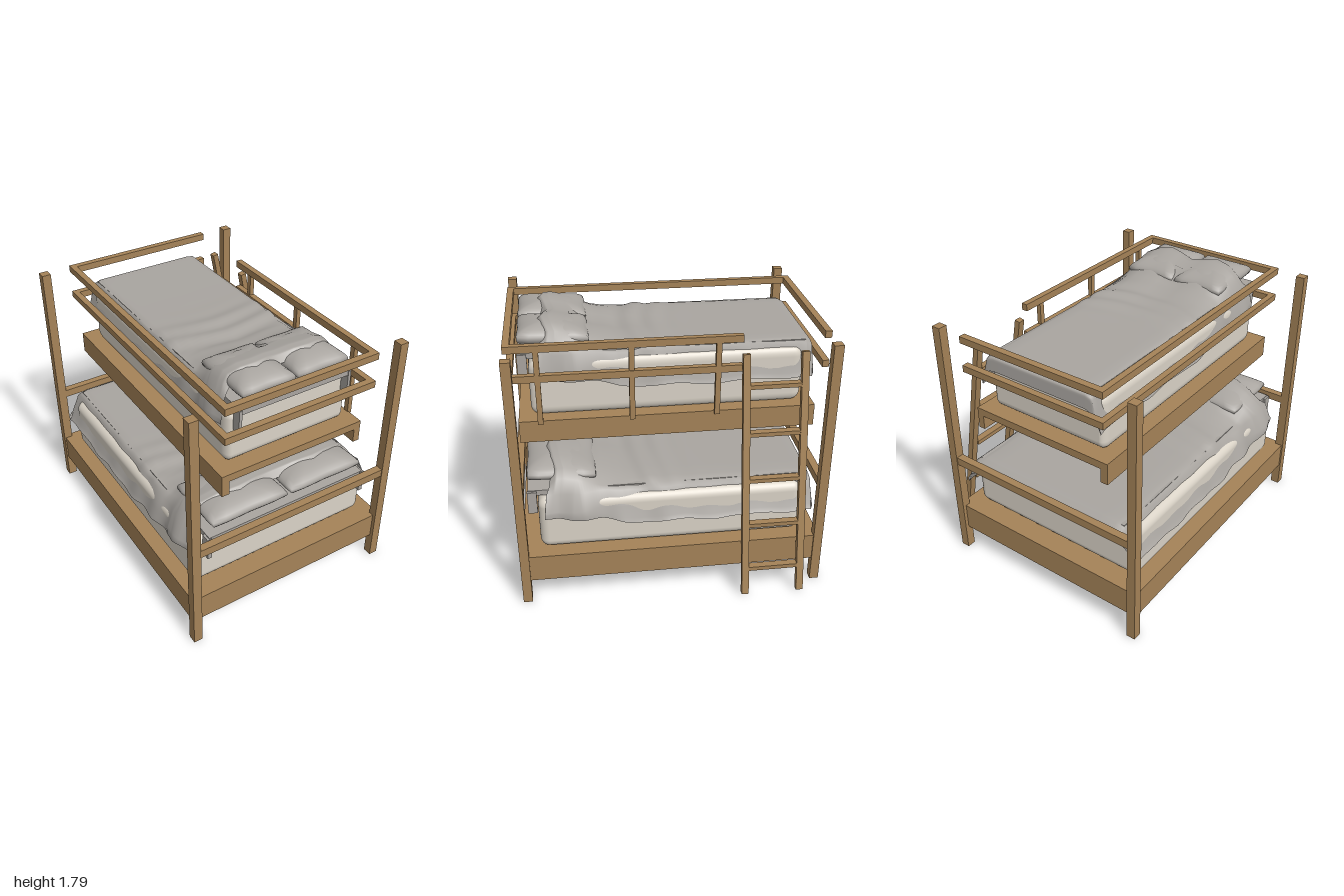
import * as THREE from 'three';
import { RoundedBoxGeometry } from 'three/addons/geometries/RoundedBoxGeometry.js';

const mat = (name, color, side = THREE.FrontSide) => {
  const m = new THREE.MeshStandardMaterial({ color, side });
  m.name = name;
  return m;
};

export function createModel() {
  const wood = mat('wood', 0xa58358);
  const mattressCloth = mat('mattress cloth', 0xdad3c7);
  const blanketCloth = mat('blanket cloth', 0xa9a5a0, THREE.DoubleSide);
  const root = new THREE.Group();
  root.name = 'bunkBed';

  const add = (parent, name, geometry, material) => {
    const mesh = new THREE.Mesh(geometry, material);
    mesh.name = name;
    parent.add(mesh);
    return mesh;
  };
  // Box given by its minimum and maximum on each axis
  const box = (parent, name, x0, x1, y0, y1, z0, z1, material = wood) => {
    const mesh = add(parent, name, new THREE.BoxGeometry(x1 - x0, y1 - y0, z1 - z0), material);
    mesh.position.set((x0 + x1) / 2, (y0 + y1) / 2, (z0 + z1) / 2);
    return mesh;
  };

  // Lower frame: corner posts, solid base and end rails
  for (const s of [-1, 1]) {
    const z0 = Math.min(s * 0.94, s), z1 = Math.max(s * 0.94, s);
    box(root, 'cornerPost', -0.81, -0.75, 0, 1.73, z0, z1);
    box(root, 'cornerPost', 0.63, 0.69, 0, 1.73, z0, z1);
    box(root, 'endRail', -0.75, 0.63, 0.72, 0.775, z0 + 0.005, z1 - 0.005);
  }
  box(root, 'lowerBase', -0.8, 0.68, 0.17, 0.355, -0.975, 0.975);

  // Upper platform with two side beams
  box(root, 'upperPlatform', -0.57, 0.44, 1.165, 1.215, -0.94, 0.94);
  box(root, 'sideBeam', -0.57, -0.52, 1.07, 1.165, -0.94, 0.94);
  box(root, 'sideBeam', 0.395, 0.44, 1.07, 1.165, -0.94, 0.94);

  // Guard rails, open beside the ladder
  for (const y of [1.49, 1.685]) {
    const top = y + 0.045;
    box(root, 'guardRailFront', -0.59, 0.465, y, top, 0.955, 0.998);
    box(root, 'guardRailBack', -0.59, 0.465, y, top, -0.998, -0.955);
    box(root, 'guardRailLong', -0.59, -0.55, y, top, -0.955, 0.955);
    box(root, 'guardRailShort', 0.425, 0.465, y, top, -0.45, 0.955);
  }
  for (const z of [0.805, 0.235, -0.3])
    box(root, 'guardPost', 0.432, 0.462, 1.2, 1.7, z - 0.017, z + 0.017);

  // Leaning ladder
  const ladder = new THREE.Group();
  ladder.name = 'ladder';
  root.add(ladder);
  const lean = Math.atan2(0.31, 1.61);
  const ladderX = (y) => 0.48 + (1.62 - y) * 0.193;
  for (const z of [-0.465, -0.835]) {
    const rail = box(ladder, 'ladderRail', -0.019, 0.019, 0, 1.635, z - 0.023, z + 0.023);
    rail.position.set(ladderX(0.811), 0.811, z);
    rail.rotation.z = lean;
  }
  for (const y of [0.19, 0.495, 0.8, 1.105, 1.41]) {
    const rung = box(ladder, 'ladderRung', -0.024, 0.024, 0, 0.028, -0.815, -0.485);
    rung.position.set(ladderX(y) - 0.006, y, -0.65);
  }

  // Cushion: a sphere squared off in plan, with thin corners
  const pillowGeometry = () => {
    const g = new THREE.SphereGeometry(1, 32, 18);
    const p = g.attributes.position;
    for (let i = 0; i < p.count; i++) {
      const x = p.getX(i), y = p.getY(i), z = p.getZ(i);
      const r = Math.hypot(x, z);
      const k = r > 1e-5 ? Math.pow(r / Math.max(Math.abs(x), Math.abs(z)), 0.85) : 1;
      const tuck = 1 - 0.06 * Math.pow(Math.cos(2 * Math.atan2(z, x)), 2) * r;
      p.setXYZ(i, x * k * tuck * 0.285, y * 0.075, z * k * tuck * 0.23);
    }
    g.computeVertexNormals();
    return g;
  };

  // Blanket: cross-sections swept from the foot to the head of the bed
  const blanketGeometry = () => {
    // each station: z, top height, hem height, head fullness
    const keys = [
      [-0.925, 0.66, 0.56, 0], [-0.92, 0.745, 0.53, 0], [-0.88, 0.768, 0.54, 0],
      [-0.4, 0.77, 0.53, 0], [-0.1, 0.775, 0.53, 0.05], [0.1, 0.79, 0.53, 0.15],
      [0.3, 0.79, 0.55, 0.35], [0.45, 0.825, 0.575, 0.65], [0.58, 0.9, 0.59, 0.95],
      [0.7, 0.928, 0.61, 1], [0.75, 0.925, 0.61, 1], [0.79, 0.885, 0.615, 1],
    ];
    const sections = 84, positions = [], indices = [];
    let width = 0;
    for (let i = 0; i <= sections; i++) {
      const t = (i / sections) * (keys.length - 1);
      const a = Math.min(Math.floor(t), keys.length - 2);
      const [z, T, hem, k] = keys[a].map((v, j) => THREE.MathUtils.lerp(v, keys[a + 1][j], t - a));
      const half = [
        [0, T - 0.03 * k], [0.14, T - 0.01 * k], [0.28, T], [0.42, T - 0.012 * k],
        [0.53, T - 0.045 * k], [0.585, T - 0.01 - 0.08 * k],
        [0.61 + 0.035 * k, Math.min(0.74 + 0.02 * k, T - 0.02)],
        [0.642 + 0.045 * k, Math.min(0.65, T - 0.04)],
        [0.675 + 0.02 * k, hem + 0.03], [0.695, hem],
      ];
      const row = [...half.slice(1).reverse().map(([x, y]) => [-x, y]), ...half];
      width = row.length;
      row.forEach(([x, y], j) => {
        const s = Math.sign(x), edge = Math.max(0, Math.abs(x) - 0.56) / 0.14;
        const fold = Math.exp(-Math.pow((z - 0.15) / 0.2, 2));
        const ripple = 0.008 * fold * Math.sin(z * 38 + x * x * 9) * (1 - edge);
        const flare = s * edge * 0.012 * Math.sin(z * 23 + s) * (0.4 + k);
        // side hems sag past the head edge
        const zEnd = z > 0.6 ? z + 0.03 * edge * k - 0.02 * (1 - edge) * Math.cos(x * 11) : z;
        positions.push(x + flare, y + ripple + 0.01 * edge * Math.sin(z * 13 + s * 2), zEnd);
        if (i < sections && j < width - 1) {
          const n = i * width + j;
          indices.push(n, n + width, n + 1, n + 1, n + width, n + width + 1);
        }
      });
    }
    const g = new THREE.BufferGeometry();
    g.setAttribute('position', new THREE.Float32BufferAttribute(positions, 3));
    g.setIndex(indices);
    g.computeVertexNormals();
    return g;
  };

  // Bedding set, reused narrower on the upper bunk
  const makeBedding = (name, lift, widthScale) => {
    const bed = new THREE.Group();
    bed.name = name;
    bed.position.set(-0.06, lift, 0);
    bed.scale.x = widthScale;
    root.add(bed);
    const mattress = add(bed, 'mattress', new RoundedBoxGeometry(1.32, 0.37, 1.72, 5, 0.06), mattressCloth);
    mattress.position.y = 0.54;
    box(bed, 'sheet', -0.585, 0.585, 0.725, 0.762, -0.88, 0.92, blanketCloth);
    for (const s of [-1, 1]) {
      box(bed, 'sheetFlap', s * 0.585 - 0.015, s * 0.585 + 0.015, 0.6, 0.755, 0.865, 0.925, blanketCloth);
      const pillow = add(bed, 'pillow', pillowGeometry(), blanketCloth);
      pillow.position.set(s * 0.285, 0.835, 0.7);
      pillow.rotation.x = -0.04;
    }
    add(bed, 'blanket', blanketGeometry(), blanketCloth);
  };
  makeBedding('lowerBedding', 0, 1);
  makeBedding('upperBedding', 0.86, 0.65);

  return root;
}
